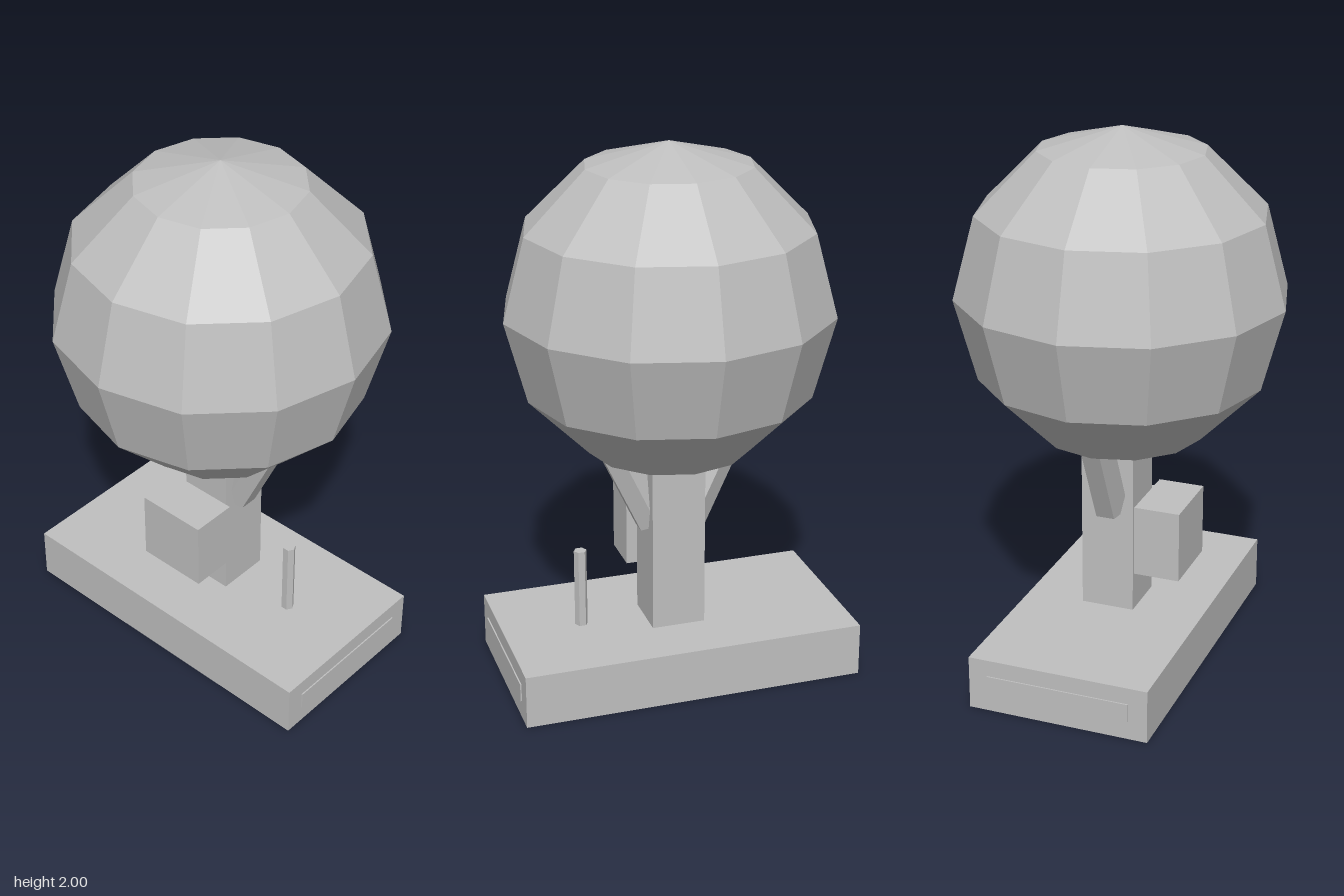
import * as THREE from 'three';

export function createModel() {
  const model = new THREE.Group();
  const grey = new THREE.MeshStandardMaterial({ color: 0xbfbfbf, flatShading: true });
  grey.name = 'plain grey';

  function add(name, geometry, x, y, z) {
    const mesh = new THREE.Mesh(geometry, grey);
    mesh.name = name;
    mesh.position.set(x, y, z);
    model.add(mesh);
    return mesh;
  }
  const box = (name, w, h, d, x, y, z) => add(name, new THREE.BoxGeometry(w, h, d), x, y, z);

  // Base slab, post and the box floating just ahead of it
  box('base', 1.276, 0.2, 0.674, 0, 0.1, 0);
  box('post', 0.2, 0.66, 0.2, 0, 0.53, -0.02);
  box('frontBox', 0.27, 0.266, 0.172, 0, 0.503, 0.184);

  // Faceted ball
  add('ball', new THREE.SphereGeometry(0.6, 12, 6), 0, 1.4, 0);

  // Small upright rod, corners pointing sideways
  add('rod', new THREE.CylinderGeometry(0.024, 0.024, 0.3, 6).rotateY(Math.PI / 6), 0.342, 0.35, 0);

  // Paired slanted braces and end plates
  const tilt = THREE.MathUtils.degToRad(25), length = 0.4;
  for (const side of [-1, 1]) {
    const name = side > 0 ? 'left' : 'right';
    const brace = add(name + 'Brace', new THREE.CylinderGeometry(0.069, 0.069, length, 6),
      side * (0.07 + Math.sin(tilt) * length / 2), 0.597 + Math.cos(tilt) * length / 2, -0.019);
    brace.rotation.z = -side * tilt;
    box(name + 'EndPlate', 0.008, 0.068, 0.534, side * 0.639, 0.104, 0);
  }
  return model;
}
